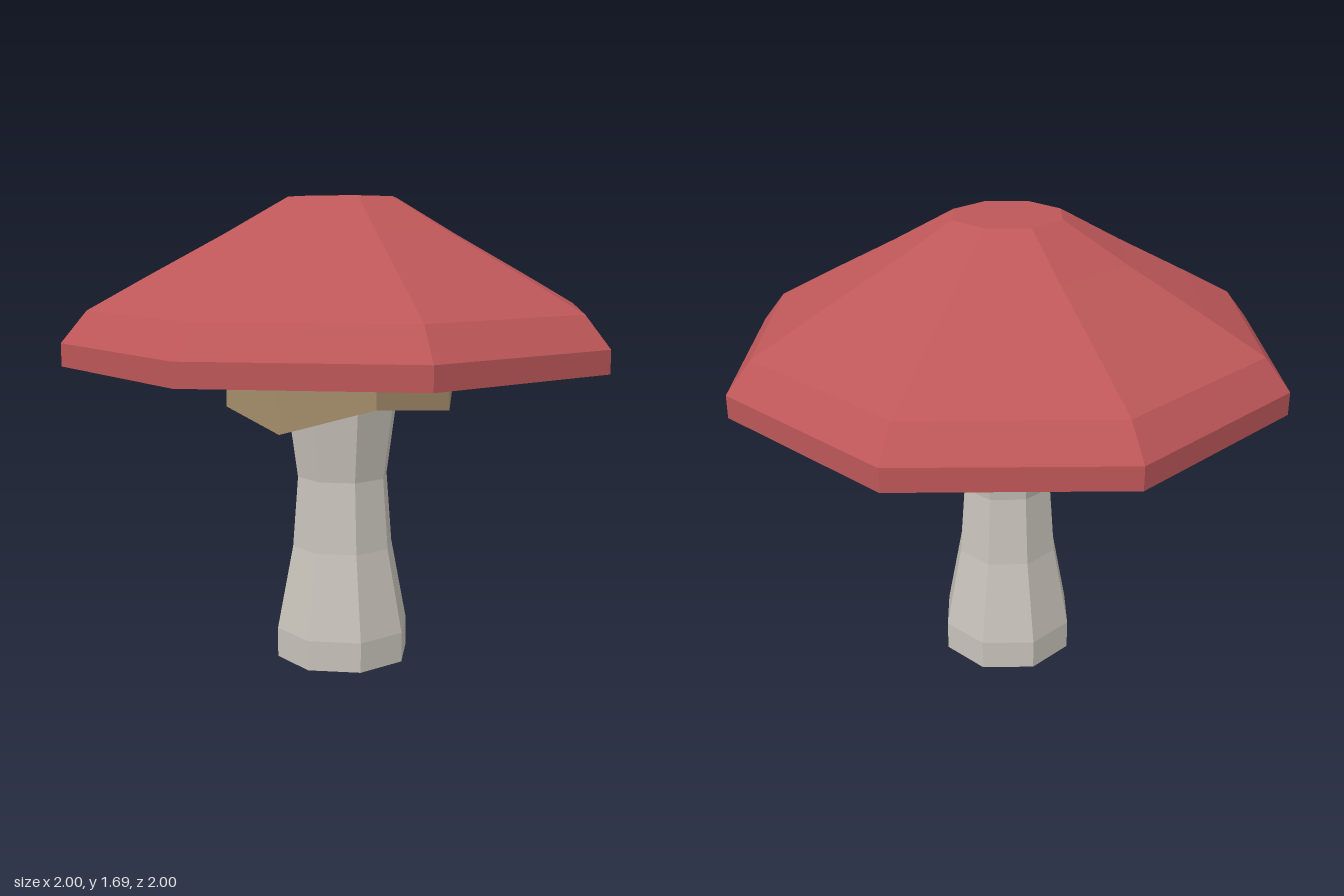
import * as THREE from 'three';

const SIDES = 8;

// Eight-sided faceted part turned from a [radius, height] profile
function turned(name, profile, color, reshape) {
  const points = profile.map(([r, y]) => new THREE.Vector2(r, y));
  let geometry = new THREE.LatheGeometry(points, SIDES);
  if (reshape) reshape(geometry.attributes.position, profile.length);
  geometry = geometry.toNonIndexed();
  geometry.computeVertexNormals();
  const material = new THREE.MeshStandardMaterial({ color, flatShading: true });
  const mesh = new THREE.Mesh(geometry, material);
  mesh.name = name;
  return mesh;
}

export function createModel() {
  const group = new THREE.Group();
  group.name = 'mushroom';

  // Stem: wide foot, narrow waist, flaring into the cap
  group.add(turned('stem', [
    [0, 0], [0.25, 0], [0.25, 0.11], [0.19, 0.42], [0.17, 0.68], [0.21, 0.97], [0.22, 1.11],
  ], 0xc8c2ba));

  // Cap: vertical rim, rounded shoulder, flat crown
  group.add(turned('cap', [
    [1, 1.11], [1, 1.19], [0.91, 1.3], [0.71, 1.41], [0.43, 1.56], [0.2, 1.69], [0, 1.69],
  ], 0xbe5759));

  // Flat underside of the cap
  group.add(turned('capUnderside', [[0, 1.11], [1, 1.11]], 0xa58e6b));

  // Hanging ring, hollow, with an uneven lower edge starting at the front
  const edge = [0.98, 0.95, 1.01, 1.0, 0.95, 0.89, 0.95, 0.89];
  group.add(turned('ring', [
    [0.36, 1.11], [0.36, 0.95], [0.43, 0.95], [0.43, 1.11],
  ], 0xa58e6b, (position, count) => {
    for (let i = 0; i <= SIDES; i++) {
      for (const j of [1, 2]) position.setY(i * count + j, edge[i % SIDES]);
    }
  }));

  return group;
}
